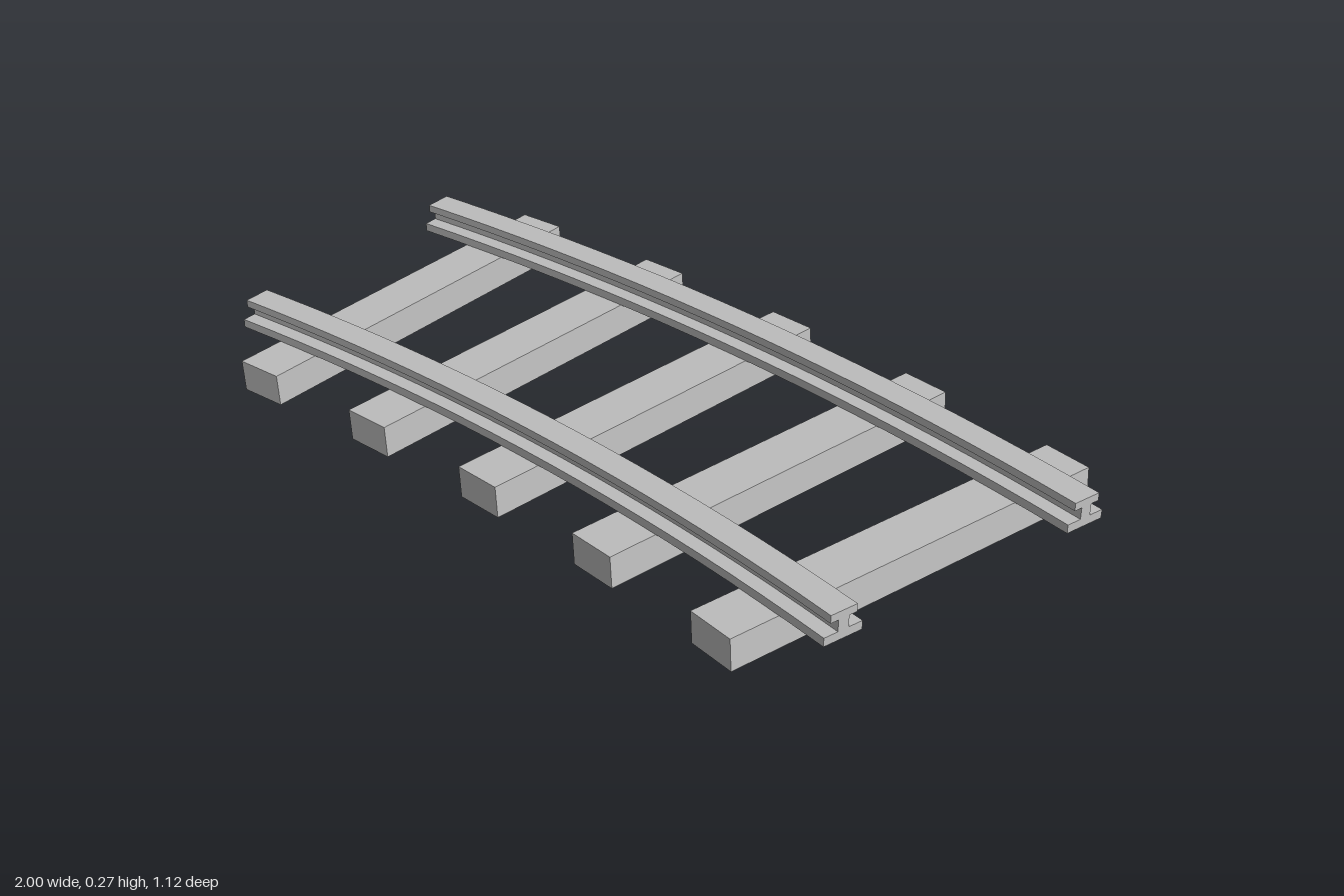
import * as THREE from 'three';
import { toCreasedNormals } from 'three/addons/utils/BufferGeometryUtils.js';

const RADIUS = 7.37;                        // track centre line
const GAUGE = 0.6;
const SWEEP = THREE.MathUtils.degToRad(15); // turn of the whole piece
const RISE = 0.14;                          // climb of the whole piece
const START_X = -1;
const CENTRE_Z = 7.263;                     // centre of the bend

// Point on the climbing bend at fraction t, radius r and height y above the start
function onTrack(t, r, y) {
  const a = t * SWEEP;
  return new THREE.Vector3(START_X + r * Math.sin(a), y + RISE * t, CENTRE_Z - r * Math.cos(a));
}

// I-shaped rail section: foot, web and head
function railShape() {
  const half = [[0.045, 0], [0.045, 0.02], [0.0125, 0.02], [0.0125, 0.047], [0.031, 0.047], [0.031, 0.065]];
  const mirrored = half.map(([x, y]) => [-x, y]).reverse();
  return new THREE.Shape([...half, ...mirrored].map(([x, y]) => new THREE.Vector2(x, y)));
}

// Extrude the section straight, then bend it along the track
function railGeometry(radius) {
  const geo = new THREE.ExtrudeGeometry(railShape(), { depth: 1, steps: 20, bevelEnabled: false });
  const pos = geo.attributes.position;
  for (let i = 0; i < pos.count; i++) {
    const p = onTrack(pos.getZ(i), radius + pos.getX(i), pos.getY(i) + 0.065);
    pos.setXYZ(i, p.x, p.y, p.z);
  }
  return toCreasedNormals(geo, 0.5);
}

export function createModel() {
  const group = new THREE.Group();
  group.name = 'curvedTrack';
  const grey = new THREE.MeshStandardMaterial({ color: 0xc0c0c0 });
  grey.name = 'light grey';

  // Rails
  for (const [name, side] of [['outerRail', 1], ['innerRail', -1]]) {
    const rail = new THREE.Mesh(railGeometry(RADIUS + side * GAUGE / 2), grey);
    rail.name = name;
    group.add(rail);
  }

  // Sleepers, turned with the bend and pitched with the climb
  const sleeperGeo = new THREE.BoxGeometry(0.118, 0.073, 0.92);
  const pitch = Math.atan(RISE / (RADIUS * SWEEP));
  for (let i = 0; i < 5; i++) {
    const t = (i + 0.5) / 5;
    const sleeper = new THREE.Mesh(sleeperGeo, grey);
    sleeper.name = `sleeper${i + 1}`;
    sleeper.position.copy(onTrack(t, RADIUS, 0.0285));
    sleeper.rotation.set(0, -t * SWEEP, pitch);
    group.add(sleeper);
  }
  return group;
}
